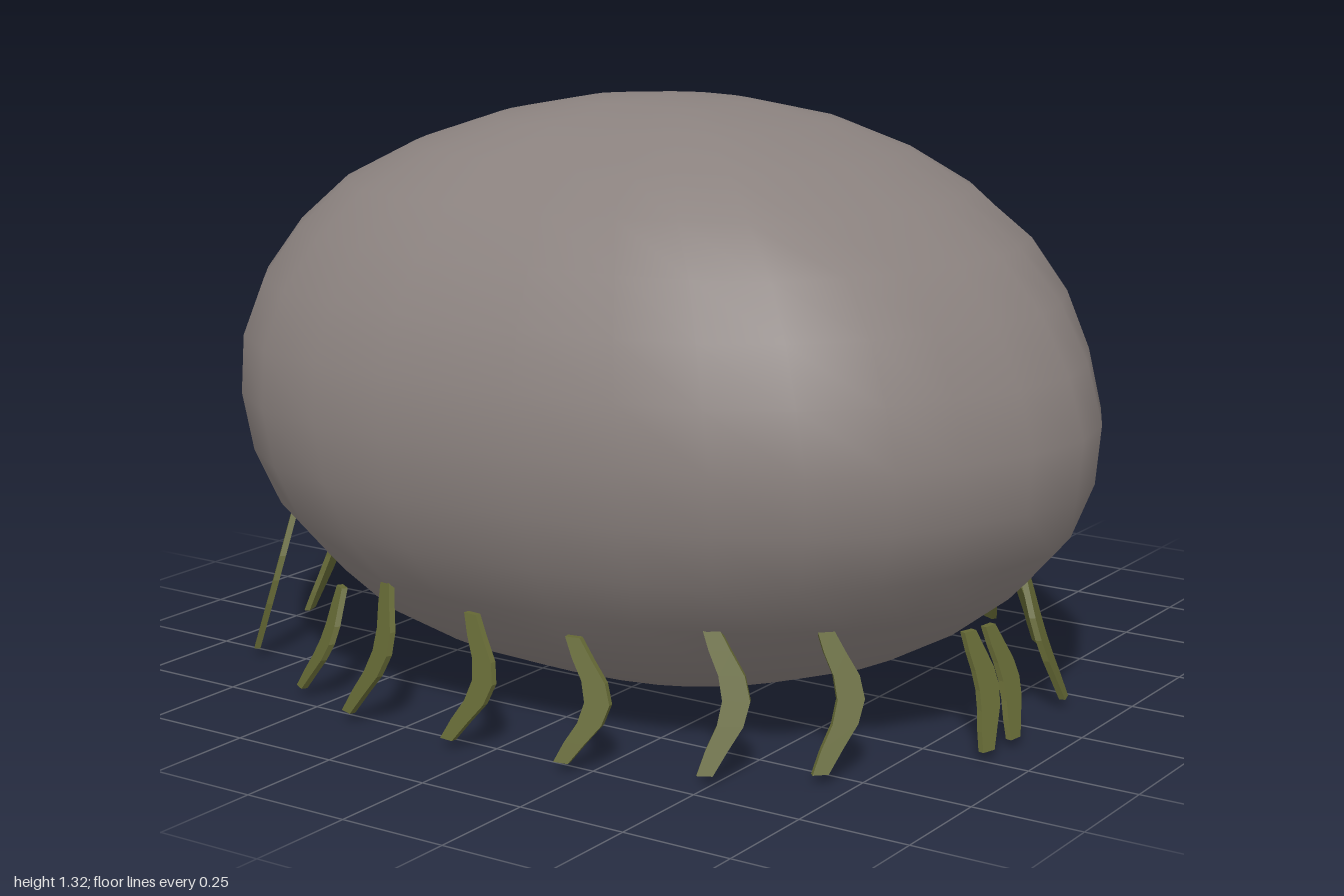
import * as THREE from 'three';

const stone = new THREE.MeshStandardMaterial({ color: 0x8a817e });
stone.name = 'warm grey stone';
const olive = new THREE.MeshStandardMaterial({ color: 0x636734, flatShading: true });
olive.name = 'olive grass';

// Plan outline of the boulder, x and z
const outline = [
  [-1, 0.03], [-0.99, -0.12], [-0.93, -0.27], [-0.83, -0.41], [-0.64, -0.6], [-0.43, -0.74],
  [-0.24, -0.81], [-0.04, -0.83], [0.17, -0.78], [0.34, -0.7], [0.48, -0.61], [0.63, -0.51],
  [0.77, -0.4], [0.89, -0.28], [0.97, -0.12], [1, 0.03], [0.97, 0.2], [0.9, 0.36],
  [0.82, 0.5], [0.69, 0.63], [0.52, 0.72], [0.34, 0.77], [0.1, 0.8], [-0.24, 0.82],
  [-0.43, 0.81], [-0.62, 0.76], [-0.78, 0.65], [-0.89, 0.51], [-0.95, 0.36], [-0.99, 0.2],
];

// Extents of each level from the top down: min x, max x, min z, max z
const levels = [
  [-0.24, 0.16, -0.12, 0.2], [-0.43, 0.34, -0.28, 0.35], [-0.61, 0.5, -0.43, 0.48],
  [-0.77, 0.65, -0.58, 0.6], [-0.88, 0.79, -0.69, 0.69], [-0.96, 0.89, -0.77, 0.76],
  [-1, 0.96, -0.81, 0.81], [-1, 1, -0.82, 0.83], [-0.97, 0.99, -0.8, 0.82],
  [-0.91, 0.94, -0.75, 0.78], [-0.8, 0.84, -0.67, 0.71], [-0.69, 0.71, -0.55, 0.62],
  [-0.54, 0.56, -0.41, 0.5], [-0.37, 0.38, -0.26, 0.36], [-0.19, 0.2, -0.1, 0.2],
];

// Fullness of a corner at a given rise: the back left swells near the top,
// and the body leans gently towards the front left as it goes up
function cornerSwell(x, w, rise) {
  const corner = 4 * (x * w) ** 2;
  if (x * w > 0) return 1 + 0.08 * Math.sign(x) * corner * rise * Math.abs(rise);
  return x > 0 ? 1 + 0.35 * corner * Math.max(0, rise) ** 2 : 1;
}

// Smooth boulder: the outline is fitted to each level and capped by two poles
function makeBoulder() {
  const n = outline.length, pos = [], index = [];
  levels.forEach(([x0, x1, z0, z1], i) => {
    const rise = Math.cos(((i + 1) * Math.PI) / 16);
    for (const [x, z] of outline) {
      const w = z / 0.825, swell = cornerSwell(x, w, rise);
      pos.push((x0 + x1) / 2 + (x * swell * (x1 - x0)) / 2, 0.66 + 0.66 * rise,
        (z0 + z1) / 2 + (w * swell * (z1 - z0)) / 2);
    }
  });
  const top = levels.length * n, bottom = top + 1, last = (levels.length - 1) * n;
  pos.push(-0.03, 1.32, 0.04, -0.02, 0, 0.05);
  for (let j = 0; j < n; j++) {
    const k = (j + 1) % n;
    index.push(top, k, j, last + j, last + k, bottom);
    for (let r = 0; r < last; r += n) {
      index.push(r + j, r + k, r + n + j, r + k, r + n + k, r + n + j);
    }
  }
  const geo = new THREE.BufferGeometry();
  geo.setAttribute('position', new THREE.Float32BufferAttribute(pos, 3));
  geo.setIndex(index);
  geo.computeVertexNormals();
  const mesh = new THREE.Mesh(geo, stone);
  mesh.name = 'boulder';
  return mesh;
}

// One flat blade, kinked sideways and leaning outward towards the ground
function makeBlade(x, z, topY, kink, drift) {
  const geo = new THREE.BoxGeometry(1, 1, 0.014, 1, 6, 1);
  const p = geo.attributes.position;
  for (let i = 0; i < p.count; i++) {
    const u = 0.5 - p.getY(i);
    const bend = Math.sin(Math.PI * u) ** 1.4;
    const width = 0.034 + 0.024 * Math.sin(Math.PI * u);
    p.setXYZ(i, p.getX(i) * width + kink * bend + drift * u,
      topY + (0.02 - topY) * u, p.getZ(i) + 0.1 * u);
  }
  geo.computeVertexNormals();
  const mesh = new THREE.Mesh(geo, olive);
  mesh.position.set(x, 0, z);
  mesh.rotation.y = Math.atan2(x, z * 1.4);
  mesh.name = 'grassBlade';
  return mesh;
}

// Root x, root z, top height, sideways kink, sideways drift
const blades = [
  [-0.53, 0.62, 0.24, 0.04, 0], [-0.34, 0.69, 0.3, 0.06, -0.01], [-0.1, 0.7, 0.27, 0.07, 0.02],
  [0.16, 0.69, 0.26, 0.07, 0.02], [0.44, 0.6, 0.31, 0.06, 0], [0.63, 0.46, 0.3, 0.06, -0.03],
  [0.81, 0.17, 0.25, 0.03, -0.04], [0.81, 0.08, 0.24, 0.03, -0.04], [0.77, -0.16, 0.3, -0.03, -0.02],
  [0.56, -0.44, 0.28, -0.04, -0.01], [0.41, -0.53, 0.28, -0.05, 0.01], [0.14, -0.61, 0.28, -0.06, 0.01],
  [-0.17, -0.66, 0.28, -0.05, 0], [-0.37, -0.58, 0.29, -0.04, 0.02], [-0.53, -0.58, 0.28, -0.05, 0.03],
  [-0.73, -0.29, 0.28, -0.07, 0.01], [-0.84, -0.08, 0.29, -0.03, 0.04], [-0.88, 0.18, 0.29, -0.02, 0.03],
  [-0.8, 0.46, 0.36, 0.02, 0.02],
];

export function createModel() {
  const model = new THREE.Group();
  model.name = 'mossyBoulder';
  model.add(makeBoulder());
  const grass = new THREE.Group();
  grass.name = 'grassFringe';
  for (const b of blades) grass.add(makeBlade(...b));
  model.add(grass);
  return model;
}
